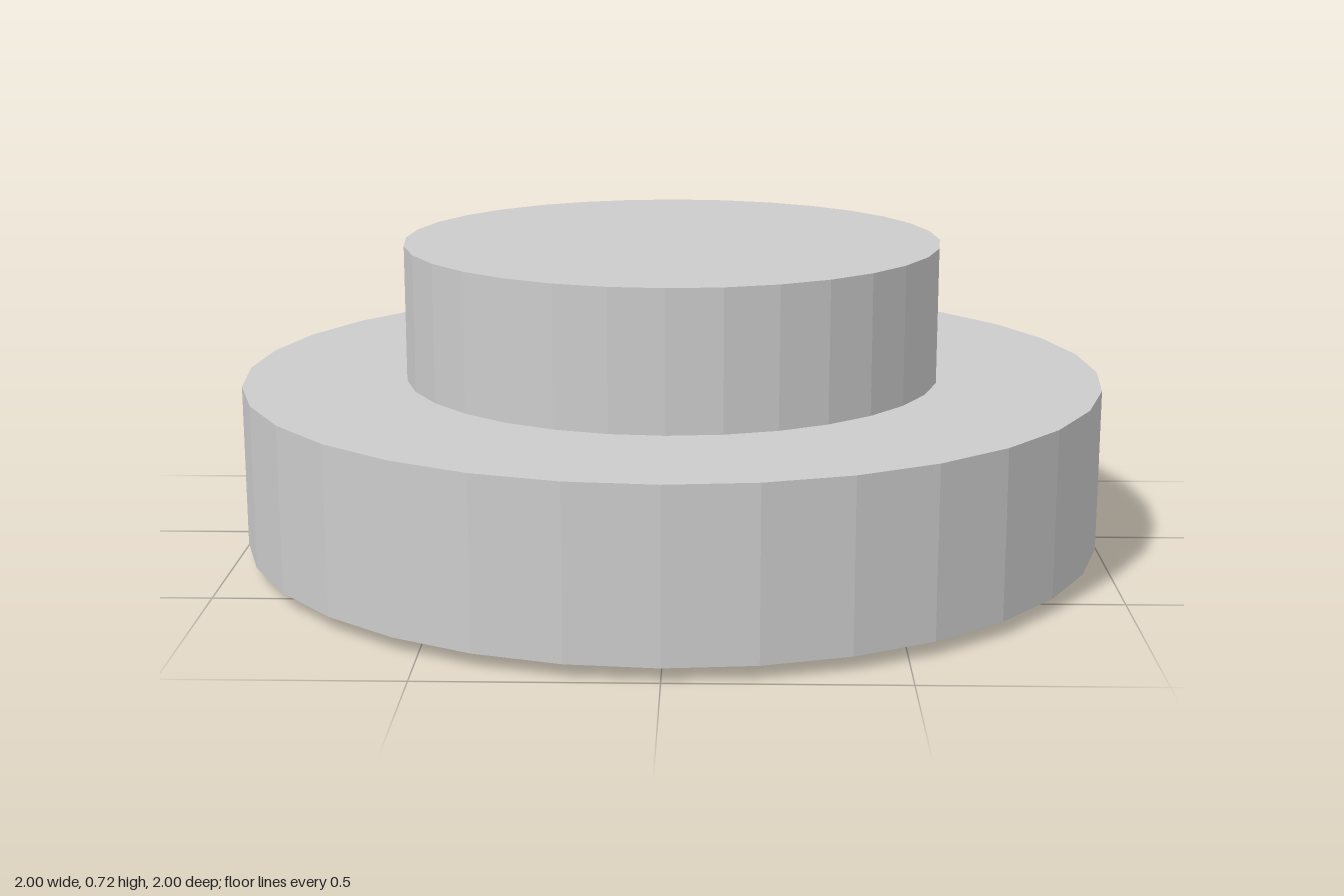
import * as THREE from 'three';

const SIDES = 32;

export function createModel() {
  const model = new THREE.Group();
  const material = new THREE.MeshStandardMaterial({ color: 0xcccccc, flatShading: true });

  // Faceted upright disc spanning bottom..top
  function addDisc(name, radius, bottom, top) {
    const geometry = new THREE.CylinderGeometry(radius, radius, top - bottom, SIDES);
    const mesh = new THREE.Mesh(geometry, material);
    mesh.name = name;
    mesh.position.y = (bottom + top) / 2;
    model.add(mesh);
  }

  // Wide outer rim
  addDisc('rim', 1, 0.031, 0.406);
  // Narrow core running through the rim, standing proud on both sides
  addDisc('core', 0.623, 0, 0.72);

  return model;
}
